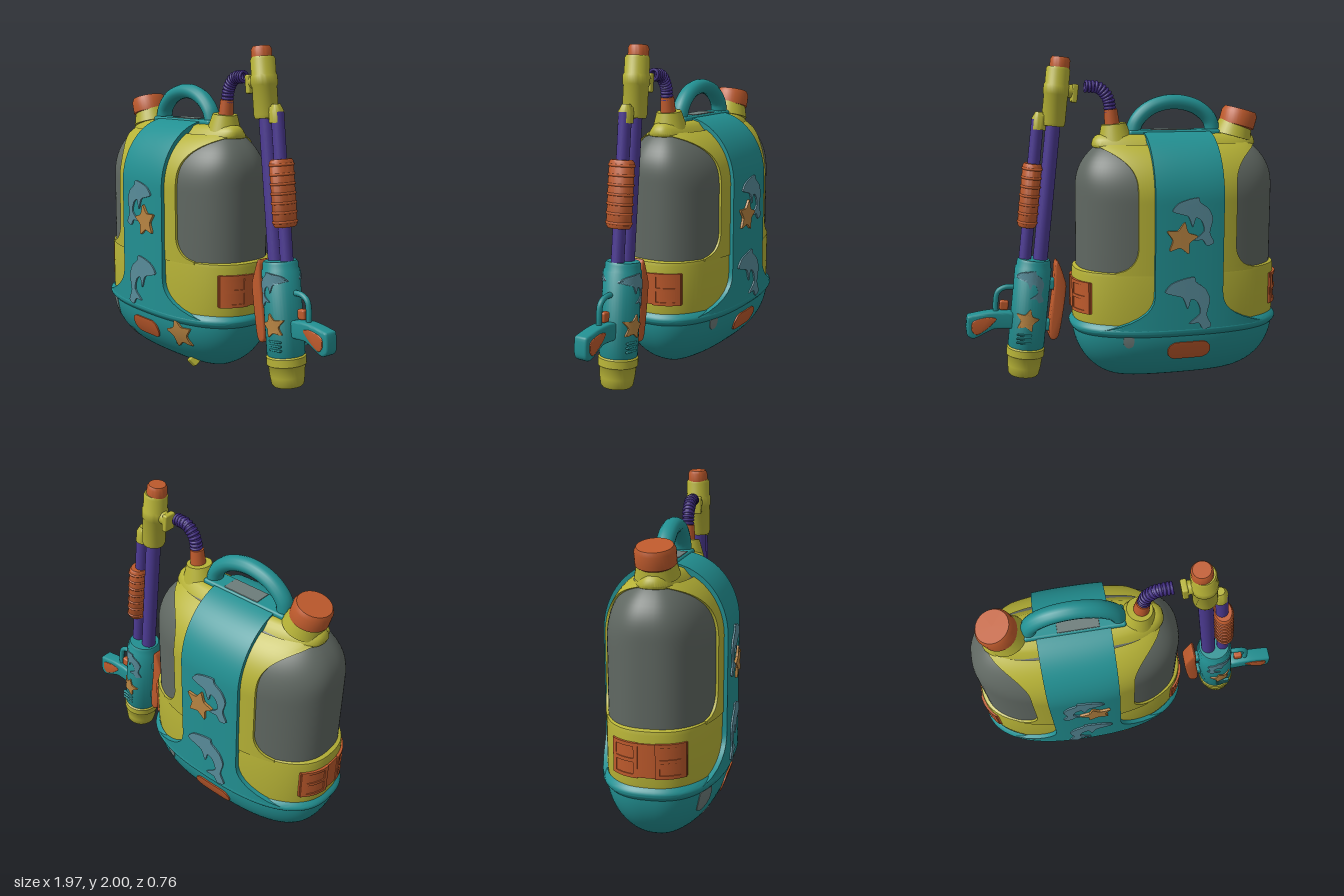
import * as THREE from 'three';
import { toCreasedNormals } from 'three/addons/utils/BufferGeometryUtils.js';
import { RoundedBoxGeometry } from 'three/addons/geometries/RoundedBoxGeometry.js';

const CX = -0.32, N = 2.5; // pack centre line and roundness of its plan
const mat = (name, color) => Object.assign(new THREE.MeshStandardMaterial({ color, side: THREE.DoubleSide }), { name });
const bulge = (d, h) => Math.pow(Math.max(0, 1 - Math.pow(Math.min(1, Math.abs(d) / h), N)), 1 / N);

// Surface from a rule fn(i, j) over a grid of cells
function grid(nu, nv, fn, flip = false, crease = 0.7) {
  const pos = [], idx = [];
  for (let j = 0; j <= nv; j++) for (let i = 0; i <= nu; i++) pos.push(...fn(i, j));
  for (let j = 0; j < nv; j++) for (let i = 0; i < nu; i++) {
    const a = j * (nu + 1) + i, b = a + 1, c = b + nu + 1, d = c - 1;
    idx.push(...(flip ? [a, c, b, a, d, c] : [a, b, c, a, c, d]));
  }
  const g = new THREE.BufferGeometry();
  g.setAttribute('position', new THREE.Float32BufferAttribute(pos, 3));
  g.setIndex(idx);
  return toCreasedNormals(g, crease);
}

// Closed superellipse sections [y, halfX, halfZ] stacked upward
const loft = rows => grid(96, rows.length - 1, (i, j) => {
  const t = (i / 96) * Math.PI * 2, [y, hx, hz] = rows[j], c = Math.cos(t), s = -Math.sin(t);
  return [CX + hx * Math.sign(c) * Math.abs(c) ** (2 / N), y, hz * Math.sign(s) * Math.abs(s) ** (2 / N)];
});

const tankHX = y => 0.62 - 0.12 * Math.max(0, (y - 1.2) / 0.26) ** 2.5;
const tankHZ = y => 0.33 * Math.sqrt(1 - Math.max(0, (y - 1.15) / 0.37) ** 2);
const bowlK = y => Math.sqrt(Math.max(0, 1 - ((0.36 - y) / 0.36) ** 2));
const bowlHX = y => 0.27 + 0.375 * bowlK(y), bowlHZ = y => 0.345 * bowlK(y);
const bowlZ = (x, y) => bowlHZ(y) * bulge(x - CX, bowlHX(y));
const stripZ = (x, y) => 0.365 * bulge(x - CX, 0.67) * Math.sqrt(1 - Math.max(0, (y - 1.15) / 0.4) ** 2);

// Flat shape wrapped onto a surface z = zFn(x, y), on the front (1) or back (-1)
function drape(shape, x0, y0, size, zFn, side, lift = 0.009) {
  let p = Array.from(new THREE.ExtrudeGeometry(shape, { depth: 1, bevelEnabled: false }).toNonIndexed().attributes.position.array);
  for (let pass = 0; pass < 2; pass++) {
    const out = [];
    for (let k = 0; k < p.length; k += 9) {
      const [a, b, c] = [0, 3, 6].map(o => p.slice(k + o, k + o + 3));
      const mid = (u, v) => u.map((e, n) => (e + v[n]) / 2), ab = mid(a, b), bc = mid(b, c), ca = mid(c, a);
      out.push(...a, ...ab, ...ca, ...ab, ...b, ...bc, ...ca, ...bc, ...c, ...ab, ...bc, ...ca);
    }
    p = out;
  }
  const q = [];
  for (let k = 0; k < p.length; k += 9) for (const o of side > 0 ? [0, 3, 6] : [0, 6, 3]) {
    const x = x0 + p[k + o] * size, y = y0 + p[k + o + 1] * size;
    q.push(x, y, side * (zFn(x, y) + lift - 0.02 * (1 - p[k + o + 2])));
  }
  const g = new THREE.BufferGeometry();
  g.setAttribute('position', new THREE.Float32BufferAttribute(q, 3));
  return toCreasedNormals(g, 0.6);
}

const smoothShape = (pts, n) => new THREE.Shape(new THREE.CatmullRomCurve3(
  pts.map(([x, y]) => new THREE.Vector3(x, y, 0)), true, 'catmullrom', 0.4).getPoints(n).map(v => new THREE.Vector2(v.x, v.y)));
const dolphin = smoothShape([[0.14, 0.08], [0.1, 0.13], [0.03, 0.155], [-0.04, 0.165], [-0.05, 0.135], [-0.11, 0.09], [-0.14, 0.02],
  [-0.12, -0.07], [-0.15, -0.14], [-0.1, -0.16], [-0.07, -0.12], [-0.01, -0.12], [-0.08, -0.06], [-0.06, 0.01],
  [-0.02, 0.03], [0.0, -0.03], [0.03, 0.04], [0.09, 0.06]], 54);
const star = smoothShape(Array.from({ length: 10 }, (_, i) => {
  const r = i % 2 ? 0.55 : 1, a = 1.75 + i * Math.PI / 5;
  return [r * Math.cos(a), r * Math.sin(a)];
}), 40);
const pill = new THREE.Shape().absarc(0.078, 0, 0.057, -Math.PI / 2, Math.PI / 2).absarc(-0.078, 0, 0.057, Math.PI / 2, Math.PI * 1.5);
const blob = smoothShape([[-0.05, 0.06], [0.05, 0.065], [0.055, -0.02], [0.01, -0.065], [-0.045, -0.04]], 30);

export function createModel() {
  const root = new THREE.Group();
  const teal = mat('teal', 0x229092), yellow = mat('yellow', 0xb6b236), orange = mat('orange', 0xbe5a2c), purple = mat('purple', 0x4d3b94),
    darkPurple = mat('hosePurple', 0x402c80), grey = mat('tankGrey', 0x606862), blue = mat('dolphinBlue', 0x588c9a),
    tan = mat('starTan', 0xb88442), worn = mat('wornGrey', 0x6c7c7a);
  const add = (name, geo, m, pos = [0, 0, 0], rz = 0, parent = root) => {
    const mesh = new THREE.Mesh(geo, m);
    mesh.name = name;
    mesh.position.set(...pos);
    mesh.rotation.z = rz;
    parent.add(mesh);
    return mesh;
  };
  const cyl = (rt, rb, h, n = 32) => new THREE.CylinderGeometry(rt, rb, h, n);
  const turned = pts => toCreasedNormals(new THREE.LatheGeometry(pts.map(p => new THREE.Vector2(...p)), 36), 0.7);
  const plate = (pts, depth, bevel) => {
    const g = new THREE.ExtrudeGeometry(smoothShape(pts, pts.length * 5), { depth, bevelSize: bevel, bevelThickness: bevel, bevelOffset: -bevel, bevelSegments: 3 });
    return toCreasedNormals(g.translate(0, 0, -depth / 2), 0.7);
  };
  const path = pts => new THREE.CatmullRomCurve3(pts.map(([x, y]) => new THREE.Vector3(x, y, 0)));

  // Pack shell: bowl, rim, belt, tank, cap
  const steps = (n, f) => Array.from({ length: n + 1 }, (_, i) => f(i / n));
  add('bowl', loft(steps(20, t => { const y = 0.36 * (1 - Math.cos(t * Math.PI / 2)); return [y, bowlHX(y), bowlHZ(y)]; })), teal);
  add('rim', loft(steps(10, t => { const b = 0.025 * Math.sin(t * Math.PI); return [0.33 + 0.075 * t, 0.642 + b, 0.342 + b]; })), teal);
  add('belt', loft([[0.38, 0.64, 0.335], [0.42, 0.647, 0.338], [0.7, 0.647, 0.338], [0.72, 0.642, 0.335], [0.735, 0.6, 0.31]]), yellow);
  add('tank', loft(steps(30, t => { const y = 0.7 + 0.78 * t; return [y, tankHX(y), tankHZ(y)]; })), grey);
  add('topCap', loft([[1.44, 0.48, 0.17], [1.455, 0.515, 0.165], [1.47, 0.522, 0.16], [1.5, 0.515, 0.13], [1.52, 0.5, 0.115],
    [1.53, 0.48, 0.08], [1.53, 0, 0]]), yellow);

  // Yellow frames beside the tank windows
  for (const sx of [1, -1]) for (const sz of [1, -1]) add('tankFrame', grid(13, 50, (i, j) => {
    const y = 0.71 + 0.765 * j / 50, f = Math.min(1, Math.max(0, (0.87 - y) / 0.14));
    const edge = Math.min(0.49, 0.305 + 0.13 * (1 - Math.sqrt(1 - f * f)) + 0.19 * Math.max(0, (y - 1.2) / 0.26) ** 3);
    const dx = 0.18 + (edge - 0.18) * Math.min(1, i / 12);
    const z = (tankHZ(y) + 0.014) * bulge(dx, tankHX(y) + 0.014);
    return [CX + sx * dx, y, sz * Math.max(0, z - (i === 13 ? 0.03 : 0))];
  }, sx * sz < 0), yellow);

  // Teal strip running up the front, over the top and down the back
  add('centreStrip', grid(22, 100, (i, j) => {
    const v = j / 100, s = v < 0.5 ? 1 : -1, w = Math.min(v, 1 - v) * 2;
    const a = Math.max(0, (w - 0.55) / 0.45) * Math.PI / 2, k = i === 0 || i === 22 ? 0.91 : 1;
    const y0 = 0.37 + 0.78 * Math.min(1, w / 0.55);
    const half = 0.212 + 0.28 * Math.max(0, (0.62 - y0) / 0.24) ** 3;
    const dx = half * (Math.min(21, Math.max(1, i)) - 11) / 10;
    return [CX + dx, y0 + 0.4 * k * Math.sin(a), s * 0.365 * k * Math.cos(a) * bulge(dx, 0.67)];
  }), teal);

  // Buckles wrapped round both ends of the belt
  for (const sx of [1, -1]) {
    const pad = (name, z0, z1, y0, y1, off) => add(name, grid(14, 6, (i, j) => {
      const c = (n, m) => (Math.min(m - 1, Math.max(1, n)) - 1) / (m - 2);
      const z = z0 + (z1 - z0) * c(i, 14), rim = i === 0 || i === 14 || j === 0 || j === 6;
      return [CX + sx * (0.647 * bulge(z, 0.338) + (rim ? -0.01 : off)), y0 + (y1 - y0) * c(j, 6), z];
    }, sx > 0), orange);
    pad('buckleBase', -0.205, 0.205, 0.465, 0.655, 0.01);
    for (const sz of [1, -1]) {
      for (const y of [0.462, 0.55, 0.638]) pad('buckleBar', sz > 0 ? 0.06 : -0.2, sz > 0 ? 0.2 : -0.06, y, y + 0.02, 0.016);
      for (const z of [0.06, 0.19]) pad('bucklePost', sz * z - 0.012, sz * z + 0.012, 0.462, 0.658, 0.016);
    }
  }

  // Raised decorations on both faces
  for (const s of [1, -1]) {
    add('upperDolphin', drape(dolphin, -0.33, 1.03, 0.89, stripZ, s), blue);
    add('lowerDolphin', drape(dolphin, -0.305, 0.535, 1, stripZ, s), blue);
    add('stripStar', drape(star, -0.262, 0.935, 0.1, stripZ, s, 0.015), tan);
    add('bowlPill', drape(pill, -0.33, 0.235, 1, bowlZ, s), orange);
  }
  add('bowlStar', drape(star, 0.005, 0.26, 0.1, bowlZ, 1, 0.012), tan);
  for (const [x, y, size, s] of [[-0.76, 0.27, 1, 1], [-0.6, 0.12, 0.45, 1], [0.04, 0.3, 0.55, -1]])
    add('wornPatch', drape(blob, x, y, size, bowlZ, s, 0.003), worn);
  add('drainPlug', new RoundedBoxGeometry(0.06, 0.06, 0.07, 2, 0.008), yellow, [-0.045, 0.05, 0.155], 0.5).rotation.x = 0.6;

  // Carry handle, filler cap and hose outlet
  add('handle', new THREE.TubeGeometry(path([[-0.57, 1.52], [-0.55, 1.61], [-0.46, 1.69], [-0.31, 1.724], [-0.17, 1.69], [-0.08, 1.61], [-0.05, 1.52]]),
    48, 0.046, 14), teal).scale.z = 1.15;
  add('handleBase', new RoundedBoxGeometry(0.58, 0.04, 0.13, 3, 0.015), teal, [-0.31, 1.535, 0]);
  add('handleBasePatch', new RoundedBoxGeometry(0.24, 0.008, 0.105, 2, 0.003), worn, [-0.29, 1.555, 0]);
  add('fillerNeck', cyl(0.1, 0.125, 0.1), yellow, [-0.71, 1.555, 0], 0.27);
  add('fillerCap', turned([[0, -0.055], [0.1, -0.055], [0.113, -0.045], [0.113, 0.03], [0.1, 0.055], [0, 0.055]]), orange, [-0.738, 1.62, 0], 0.27);
  add('hoseMount', cyl(0.075, 0.105, 0.1), yellow, [0.06, 1.545, 0], -0.1);
  add('hoseClamp', cyl(0.04, 0.047, 0.1), orange, [0.078, 1.632, 0], -0.1);
  const hose = path([[0.085, 1.67], [0.1, 1.75], [0.155, 1.81], [0.235, 1.82]]);
  add('hose', new THREE.TubeGeometry(hose, 30, 0.032, 14), darkPurple);
  for (let i = 0; i <= 12; i++) {
    const p = hose.getPointAt(i / 12), ring = add('hoseRing', new THREE.TorusGeometry(0.03, 0.009, 8, 20), darkPurple, p.toArray());
    ring.lookAt(p.add(hose.getTangentAt(i / 12)));
  }

  // Leaning water blaster
  const gun = new THREE.Group();
  gun.name = 'waterBlaster';
  gun.position.set(0.645, 0.05, 0);
  gun.rotation.z = 0.11;
  root.add(gun);
  const part = (name, geo, m, pos, rz) => add(name, geo, m, pos, rz, gun);
  part('endCap', turned([[0, 0], [0.085, 0], [0.095, 0.012], [0.103, 0.06], [0.108, 0.12], [0.117, 0.13], [0.117, 0.175], [0.1, 0.19]]), yellow);
  part('body', turned([[0.1, 0.17], [0.112, 0.19], [0.112, 0.68], [0.104, 0.69], [0.104, 0.72], [0.095, 0.735], [0, 0.735]]), teal);
  part('mainTube', cyl(0.045, 0.045, 0.95), purple, [-0.038, 1.17, 0]);
  part('pumpTube', cyl(0.038, 0.038, 0.9), purple, [0.056, 1.13, 0]);
  part('pumpGrip', turned([[0, 0.93], [0.05, 0.93], [0.058, 0.945], [0.058, 1.3], [0.05, 1.315], [0, 1.315]]), orange, [0.063, 0, 0]).scale.z = 1.35;
  for (let i = 0; i < 7; i++) {
    const rib = part('gripRib', new THREE.TorusGeometry(0.054, 0.009, 8, 28).rotateX(Math.PI / 2), orange, [0.063, 0.96 + i * 0.054, 0]);
    rib.scale.z = 1.35;
  }
  part('tubeCollar', turned([[0, 1.52], [0.044, 1.52], [0.044, 1.585], [0.025, 1.625], [0, 1.625]]), yellow, [0.048, 0, 0]);
  part('collarBridge', new RoundedBoxGeometry(0.08, 0.07, 0.07, 2, 0.015), yellow, [0.015, 1.58, 0]);
  part('head', turned([[0, 1.55], [0.066, 1.55], [0.072, 1.57], [0.072, 1.73], [0.078, 1.74], [0.078, 1.79], [0.072, 1.8], [0.072, 1.885], [0.064, 1.9], [0, 1.9]]),
    yellow, [-0.038, 0, 0]);
  part('nozzle', turned([[0, 1.89], [0.06, 1.89], [0.06, 1.942], [0.05, 1.96], [0, 1.96]]), orange, [-0.045, 0, 0]);
  part('hosePort', cyl(0.04, 0.04, 0.08, 20), yellow, [-0.115, 1.765, 0], Math.PI / 2);
  part('portFlange', new RoundedBoxGeometry(0.036, 0.11, 0.08, 2, 0.01), yellow, [-0.147, 1.755, 0]);
  const gunZ = x => Math.sqrt(Math.max(0, 0.0126 - x * x));
  for (const s of [1, -1]) {
    part('bodyDolphin', drape(dolphin, 0.022, 0.58, 0.6, gunZ, s, 0.006), blue);
    part('bodyStar', drape(star, 0.02, 0.37, 0.073, gunZ, s, 0.008), tan);
    for (const y of [0.23, 0.255, 0.28]) part('bodyRidge', new RoundedBoxGeometry(0.09, 0.012, 0.02, 2, 0.005), teal, [0.03, y, s * 0.106]);
  }

  // Shoulder pad, grip and trigger
  add('shoulderPad', plate([[0.42, 0.76], [0.44, 0.74], [0.45, 0.6], [0.485, 0.3], [0.425, 0.295], [0.375, 0.58], [0.385, 0.66]], 0.08, 0.012), orange);
  for (let i = 0; i < 6; i++) add('padRib', new RoundedBoxGeometry(0.04, 0.018, 0.1, 2, 0.006), orange, [0.4 + i * 0.009, 0.6 - i * 0.05, 0], 0.1);
  for (const [x, y] of [[0.47, 0.62], [0.5, 0.36]]) add('padBracket', new RoundedBoxGeometry(0.1, 0.07, 0.06, 2, 0.015), teal, [x, y, 0], 0.11);
  add('triggerGuard', new THREE.TubeGeometry(path([[0.66, 0.61], [0.75, 0.61], [0.79, 0.585], [0.805, 0.52], [0.805, 0.44]]), 28, 0.017, 10), teal);
  add('grip', plate([[0.69, 0.45], [0.82, 0.47], [0.95, 0.455], [0.98, 0.44], [0.985, 0.34], [0.94, 0.31], [0.82, 0.36], [0.7, 0.36]], 0.06, 0.014), teal);
  add('gripInset', plate([[0.805, 0.425], [0.86, 0.44], [0.945, 0.42], [0.955, 0.365], [0.925, 0.335], [0.86, 0.37]], 0.089, 0.004), orange);
  add('trigger', new RoundedBoxGeometry(0.055, 0.06, 0.04, 2, 0.012), orange, [0.755, 0.5, 0], 0.1);
  return root;
}
